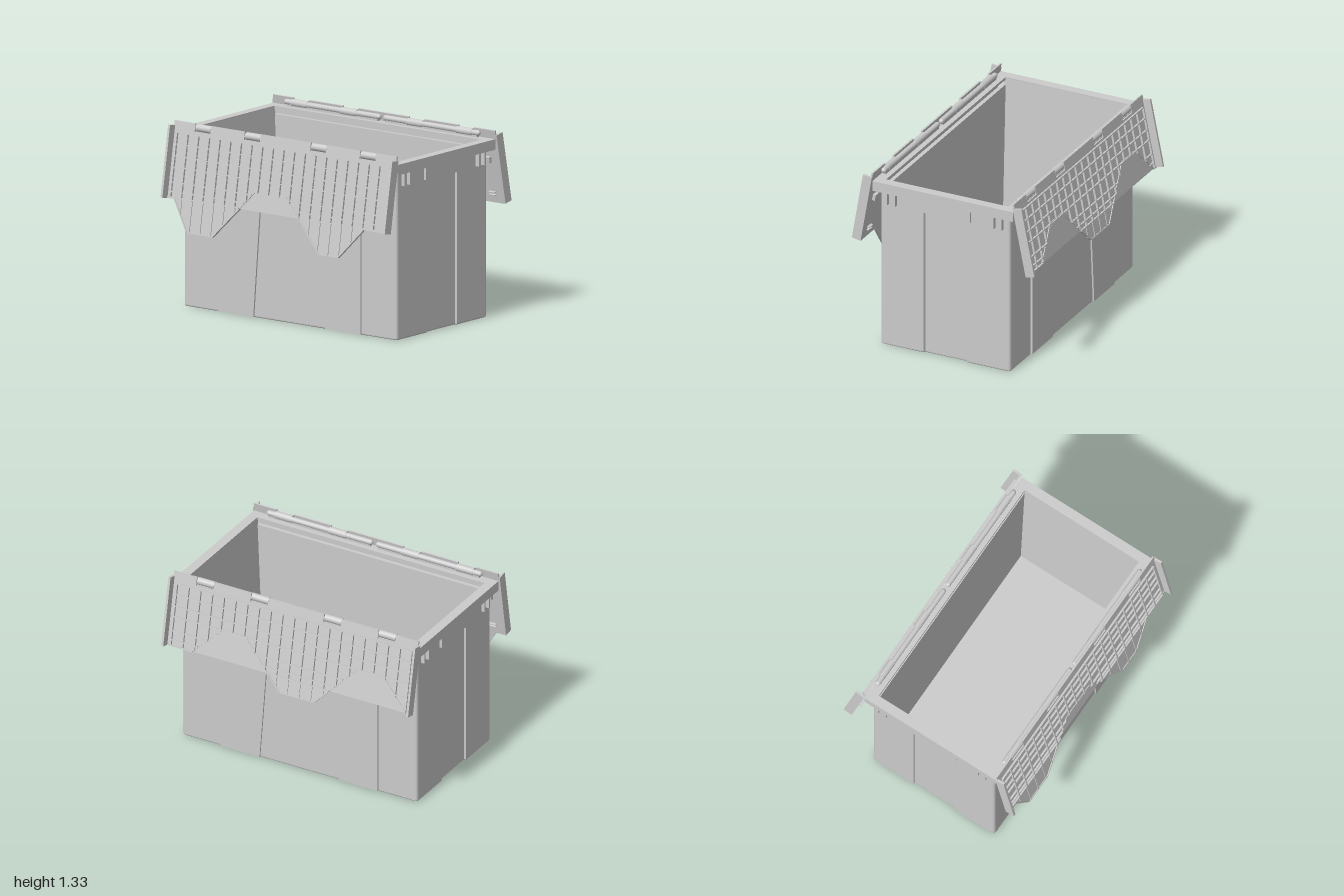
import * as THREE from 'three';

const mat = new THREE.MeshStandardMaterial({ color: 0xcccccc, side: THREE.DoubleSide });
const CX = -0.0125; // the container sits slightly off the centre of the two lids

function add(parent, name, geo, x = 0, y = 0, z = 0) {
  const m = new THREE.Mesh(geo, mat);
  m.name = name;
  m.position.set(x, y, z);
  parent.add(m);
  return m;
}
const box = (w, h, d) => new THREE.BoxGeometry(w, h, d);
const shapeOf = pts => new THREE.Shape(pts.map(p => new THREE.Vector2(p[0], p[1])));

// Extrude a plan outline (x, z) upwards
function extrudeUp(shape, depth, bevel = 0) {
  return new THREE.ExtrudeGeometry(shape, {
    depth: depth - 2 * bevel, bevelEnabled: bevel > 0, bevelSize: bevel,
    bevelThickness: bevel, bevelOffset: -bevel, bevelSegments: 3, curveSegments: 6,
  }).translate(0, 0, bevel).rotateX(-Math.PI / 2);
}
// Extrude a side outline given as (z, y) towards +x
function extrudeSide(pts, depth) {
  return new THREE.ExtrudeGeometry(shapeOf(pts.map(([z, y]) => [-z, y])), { depth, bevelEnabled: false })
    .rotateY(Math.PI / 2);
}
const rect = (hx, hz) => shapeOf([[-hx, -hz], [hx, -hz], [hx, hz], [-hx, hz]]);

// Plan of the walls: rounded corners, shallow recess in the middle of each end
function wallPlan() {
  const X = 0.51, Z = 0.95, r = 0.025, px = 0.17, d = 0.015;
  const s = new THREE.Shape();
  s.moveTo(-X + r, -Z);
  s.lineTo(-px, -Z); s.lineTo(-px + 0.005, -Z + d); s.lineTo(px - 0.005, -Z + d); s.lineTo(px, -Z);
  s.lineTo(X - r, -Z); s.quadraticCurveTo(X, -Z, X, -Z + r);
  s.lineTo(X, Z - r); s.quadraticCurveTo(X, Z, X - r, Z);
  s.lineTo(px, Z); s.lineTo(px - 0.005, Z - d); s.lineTo(-px + 0.005, Z - d); s.lineTo(-px, Z);
  s.lineTo(-X + r, Z); s.quadraticCurveTo(-X, Z, -X, Z - r);
  s.lineTo(-X, -Z + r); s.quadraticCurveTo(-X, -Z, -X + r, -Z);
  return s;
}

function createContainer() {
  const g = new THREE.Group();
  g.name = 'container';
  g.position.x = CX;

  add(g, 'floor', extrudeUp(wallPlan(), 0.04, 0.012));
  const walls = wallPlan();
  walls.holes.push(rect(0.48, 0.92));
  add(g, 'walls', extrudeUp(walls, 1.2), 0, 0.012);

  // Rim with an overhanging skirt
  const rim = rect(0.553, 0.99), skirt = rect(0.553, 0.99);
  rim.holes.push(rect(0.48, 0.92));
  skirt.holes.push(rect(0.538, 0.975));
  add(g, 'rimTop', extrudeUp(rim, 0.02), 0, 1.25);
  add(g, 'rimSkirt', extrudeUp(skirt, 0.06), 0, 1.195);

  for (const s of [-1, 1]) {
    // Inner end walls lean inwards towards the floor
    const liner = add(g, 'innerEndWall',
      extrudeSide([[s * 0.93, 0.03], [s * 0.87, 0.03], [s * 0.92, 1.26], [s * 0.93, 1.26]], 0.97));
    liner.position.x = -0.485;

    // Grip block and small gussets under the rim
    add(g, 'gripBlock', box(0.405, 0.1, 0.05), 0, 1.15, s * 0.945);
    for (const x of [-0.45, -0.388, 0.388, 0.45])
      add(g, 'gusset', box(0.012, 0.11, 0.035), x, 1.155, s * 0.96);

    // Raised tapering pads on the long sides
    for (const t of [-1, 1]) {
      add(g, 'sidePad', extrudeSide([[t * 0.32, 0.006], [t * 0.635, 0.006], [t * 0.635, 1.2], [t * 0.23, 1.2]], 0.022),
        s > 0 ? 0.5 : -0.522);
      // Hinge rod with domed ends
      add(g, 'hingeRod', new THREE.CapsuleGeometry(0.02, 0.82, 6, 16).rotateX(Math.PI / 2), s * 0.532, 1.3, t * 0.442);
      add(g, 'hingeBase', box(0.025, 0.04, 0.82), s * 0.532, 1.283, t * 0.442);
      for (const z of [0.295, 0.735])
        add(g, 'hingeKnuckle', new THREE.CylinderGeometry(0.027, 0.027, 0.135, 20).rotateX(Math.PI / 2),
          s * 0.538, 1.298, t * z);
    }
  }
  return g;
}

// One hanging lid; edge is its lower ribbed outline as (z, y) with z rising
function createLid(name, edge, angle, turned) {
  const g = new THREE.Group();
  g.name = name;
  g.position.set(CX + (turned ? -0.555 : 0.555), 1.29, 0);
  g.rotation.set(0, turned ? Math.PI : 0, angle);
  const down = y => (y - 1.29) / Math.cos(angle);
  const low = 0.795, thick = 0.012, ribH = 0.027;

  // Panel: straight lower edge plus the tongues, notched at the hinge knuckles
  const pts = [];
  edge.forEach(([z, y], i) => {
    if (i) {
      const [z0, y0] = edge[i - 1];
      if ((y0 - low) * (y - low) < 0) pts.push([z0 + (z - z0) * (low - y0) / (y - y0), low]);
    }
    if (y <= low) pts.push([z, y]);
  });
  pts.push([0.99, 1.33]);
  for (const z of [0.735, 0.295, -0.295, -0.735])
    pts.push([z + 0.07, 1.33], [z + 0.07, 1.27], [z - 0.07, 1.27], [z - 0.07, 1.33]);
  pts.push([-0.99, 1.33]);
  add(g, 'lidPanel', extrudeSide(pts.map(([z, y]) => [z, down(y)]), thick));

  // Rib between two points on the panel
  const rib = (z0, y0, z1, y1, h = ribH) => {
    const a = down(y0), b = down(y1);
    const m = add(g, 'lidRib', box(h, 0.008, Math.hypot(z1 - z0, b - a)), h / 2, (a + b) / 2, (z0 + z1) / 2);
    m.rotation.x = -Math.atan2(b - a, z1 - z0);
  };
  const edgeY = z => {
    const i = Math.max(1, edge.findIndex(p => p[0] >= z));
    const [z0, y0] = edge[i - 1], [z1, y1] = edge[i];
    return y0 + (y1 - y0) * (z - z0) / (z1 - z0);
  };

  // Border ribs, lower on the thin tongues
  edge.forEach(([z, y], i) => {
    if (i) rib(edge[i - 1][0], edge[i - 1][1] + 0.004, z, y + 0.004, 0.018);
  });
  // Upright ribs
  for (let i = 0; i <= 20; i++) {
    const z = -0.95 + i * 0.095, y = edgeY(z), b = Math.max(y, low);
    rib(z, 1.25, z, b);
    if (y < low) rib(z, low, z, y, 0.018);
  }
  // Lengthwise ribs, broken where the ribbed area ends
  for (const y of [1.25, 1.17, 1.085, 1.01, 0.905, 0.84, 0.8]) {
    let start = null;
    for (let i = 0; i <= 190; i++) {
      const z = -0.95 + i * 0.01, inside = edgeY(z) <= y;
      if (inside && start === null) start = z;
      if (start !== null && (!inside || i === 190)) {
        if (z - start > 0.02) rib(start, y, z, y);
        start = null;
      }
    }
  }

  // End plates, with small stops on the inner face
  for (const s of [-1, 1]) {
    add(g, 'lidEndPlate', box(0.07, 0.515, 0.018), 0.035, -0.25, s * 0.991);
    add(g, 'lidStop', box(0.03, 0.045, 0.05), -0.008, down(1.11), s * 0.9);
    for (const y of [0.85, 0.87]) add(g, 'lidStopRib', box(0.02, 0.006, 0.06), -0.008, down(y), s * 0.9);
  }
  return g;
}

export function createModel() {
  const model = new THREE.Group();
  model.name = 'lidded crate';
  model.add(createContainer());

  // One lid has a single tongue, the other has two that interlock with it
  const single = [[-0.99, 0.79], [-0.95, 0.79], [-0.74, 1.01], [-0.54, 1.01], [-0.22, 0.68],
    [0.06, 0.68], [0.38, 1.01], [0.56, 1.01], [0.78, 0.79], [0.99, 0.79]];
  const double = [[-0.99, 0.79], [-0.92, 0.79], [-0.78, 0.57], [-0.55, 0.57], [-0.22, 0.92],
    [0.06, 0.92], [0.4, 0.57], [0.57, 0.57], [0.77, 0.79], [0.99, 0.79]];
  model.add(createLid('leftLid', single, 0.2, false));
  model.add(createLid('rightLid', double.map(([z, y]) => [-z, y]).reverse(), 0.17, true));
  return model;
}
